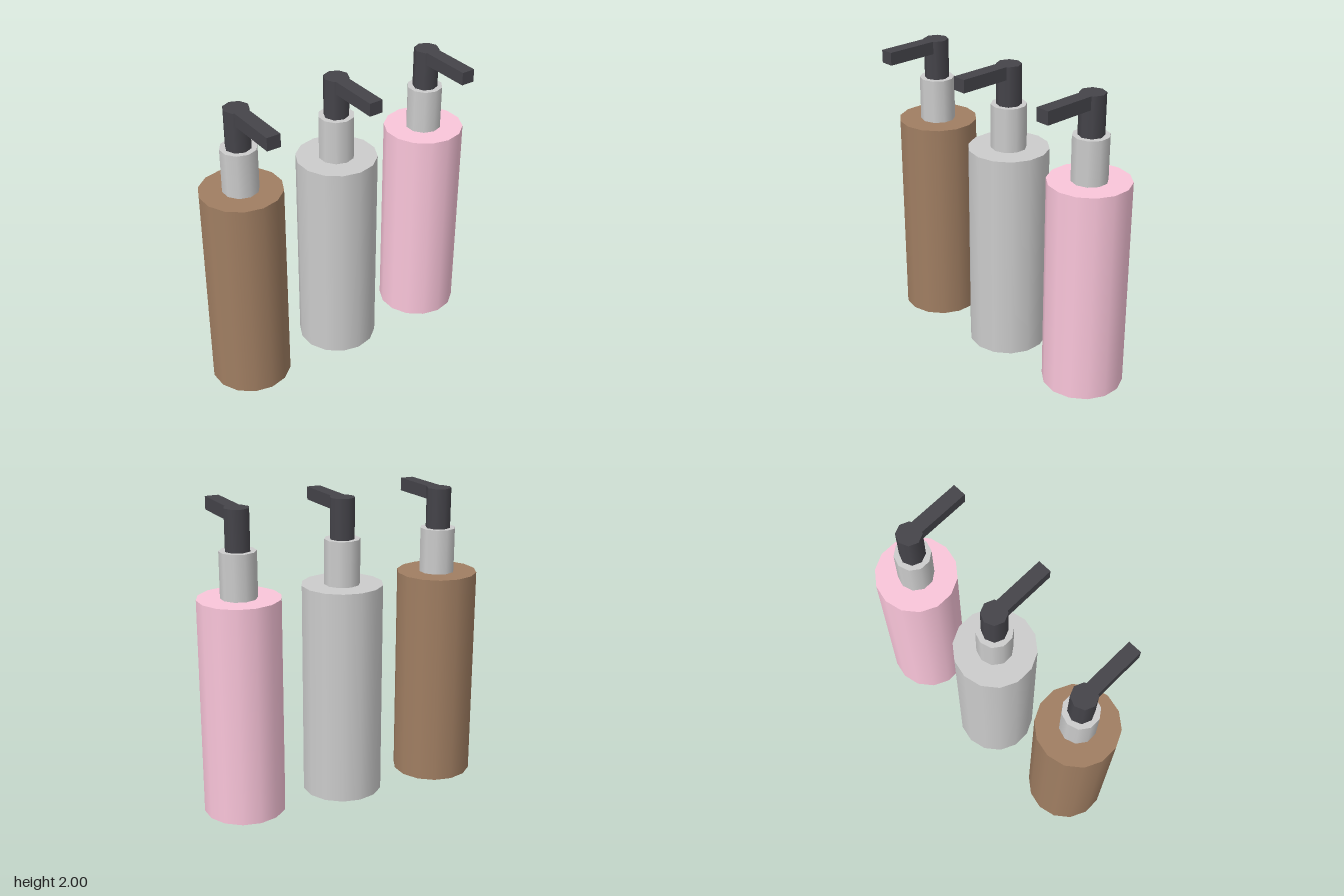
import * as THREE from 'three';

const AXIS_Z = -0.075; // bottles sit slightly back so the spouts balance them
const SPACING = 0.717;

const material = (color) => new THREE.MeshStandardMaterial({ color });

// Upright cylinder spanning y0..y1
function column(name, radius, y0, y1, sides, mat) {
  const mesh = new THREE.Mesh(new THREE.CylinderGeometry(radius, radius, y1 - y0, sides), mat);
  mesh.name = name;
  mesh.position.y = (y0 + y1) / 2;
  return mesh;
}

export function createModel() {
  const model = new THREE.Group();
  model.name = 'pumpBottles';

  const grey = material(0xcccccc);
  const dark = material(0x45444a);
  const bottles = [
    ['brownBottle', material(0xa07e62)],
    ['greyBottle', grey],
    ['pinkBottle', material(0xfac5da)],
  ];

  bottles.forEach(([name, bodyMaterial], i) => {
    const bottle = new THREE.Group();
    bottle.name = name;
    bottle.position.set((i - 1) * SPACING, 0, AXIS_Z);

    // Body, collar and pump head stacked on one axis
    bottle.add(
      column('body', 0.268, 0, 1.435, 14, bodyMaterial),
      column('collar', 0.118, 1.435, 1.733, 10, grey),
      column('pumpHead', 0.083, 1.733, 2, 8, dark),
    );

    // Spout reaching forward from the pump axis, flush with the top
    const length = 0.418;
    const spout = new THREE.Mesh(new THREE.BoxGeometry(0.092, 0.086, length), dark);
    spout.name = 'spout';
    spout.position.set(0, 2 - 0.043, length / 2);
    bottle.add(spout);

    model.add(bottle);
  });

  return model;
}
